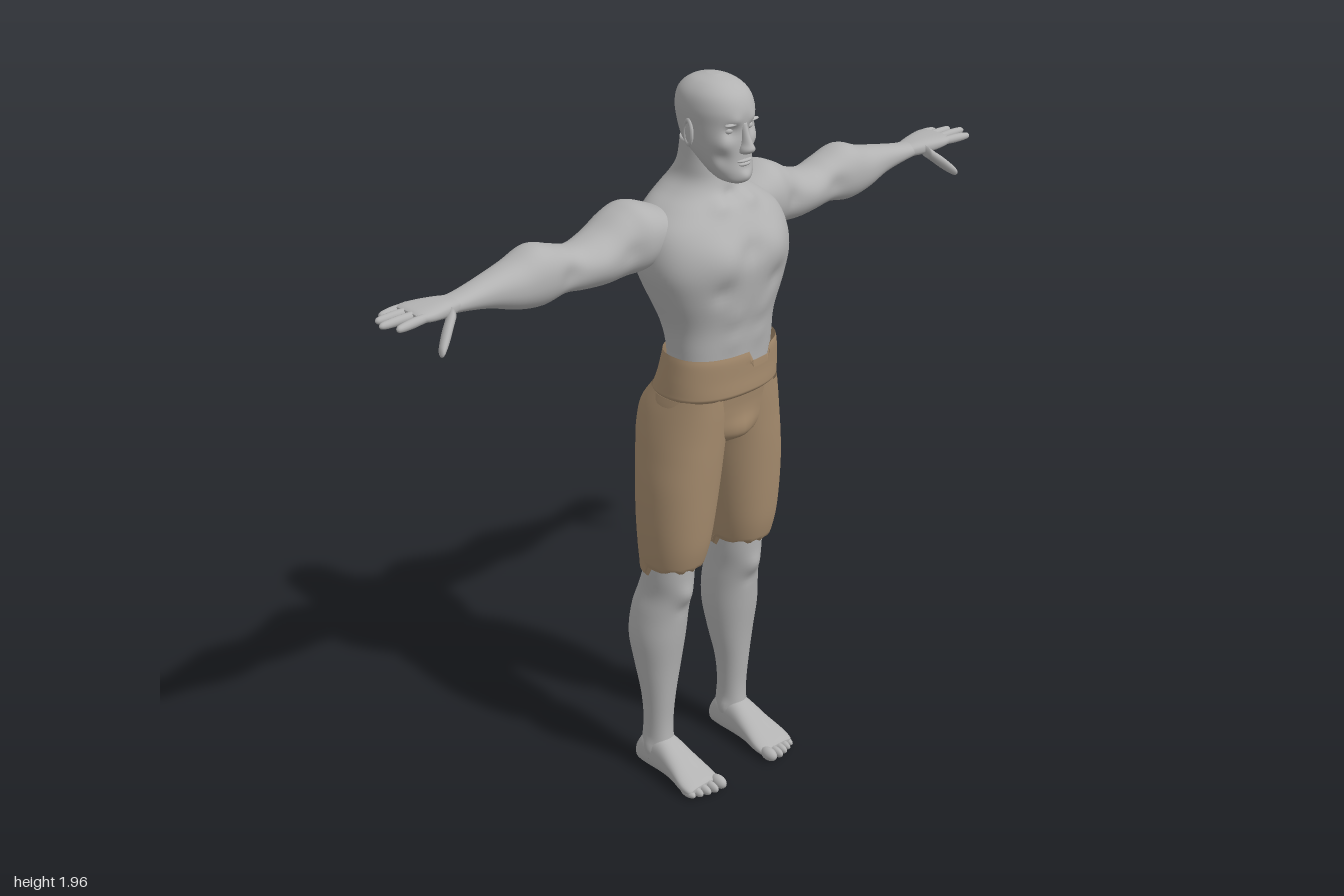
import * as THREE from 'three';

const skin = new THREE.MeshStandardMaterial({ color: 0xb2b2b2 });
skin.name = 'grey skin';
const cloth = new THREE.MeshStandardMaterial({ color: 0xa68c6e, side: THREE.DoubleSide });
cloth.name = 'tan cloth';

// Catmull-Rom blend of neighbouring cross-sections
function blend(s, f) {
  const i = Math.min(Math.floor(f), s.length - 2), t = f - i;
  const at = (k) => s[Math.max(0, Math.min(s.length - 1, k))];
  const [a, b, c, d] = [at(i - 1), at(i), at(i + 1), at(i + 2)];
  return b.map((_, k) => 0.5 * (2 * b[k] + (c[k] - a[k]) * t
    + (2 * a[k] - 5 * b[k] + 4 * c[k] - d[k]) * t * t + (3 * b[k] - a[k] - 3 * c[k] + d[k]) * t * t * t));
}

// Skin over sections [t, u0, u1, v0, v1]; axis y: u=x v=z, axis x: u=z v=y, axis z: u=y v=x
function loft(sections, { axis = 'y', segs = 40, steps = 5, n = 2.2, bumps = [], tweak, cap = true } = {}) {
  const rows = (sections.length - 1) * steps, pos = [], idx = [];
  const put = (t, u, v) => {
    const p = axis === 'y' ? new THREE.Vector3(u, t, v)
      : axis === 'x' ? new THREE.Vector3(t, v, u) : new THREE.Vector3(v, u, t);
    const q = p.clone();
    // Sculpting: soft pushes [x, y, z, radius, dx, dy, dz], mirrored in x
    for (const [x, y, z, r, dx, dy, dz] of bumps) for (const m of x ? [1, -1] : [1]) {
      const w = Math.exp(-((q.x - m * x) ** 2 + (q.y - y) ** 2 + (q.z - z) ** 2) / (r * r));
      p.x += m * dx * w; p.y += dy * w; p.z += dz * w;
    }
    if (tweak) tweak(p);
    pos.push(p.x, p.y, p.z);
  };
  const pw = (c) => Math.sign(c) * Math.abs(c) ** (2 / n);
  for (let i = 0; i <= rows; i++) {
    const [t, u0, u1, v0, v1] = blend(sections, i / steps);
    for (let j = 0; j < segs; j++) {
      const a = (j / segs) * Math.PI * 2;
      put(t, (u0 + u1) / 2 + (u1 - u0) / 2 * pw(Math.cos(a)), (v0 + v1) / 2 + (v1 - v0) / 2 * pw(Math.sin(a)));
    }
  }
  for (let i = 0; i < rows; i++) for (let j = 0; j < segs; j++) {
    const k = (j + 1) % segs, a = i * segs + j, b = i * segs + k;
    idx.push(a, a + segs, b, b, a + segs, b + segs);
  }
  if (cap) {
    for (const i of [0, rows]) {
      const [t, u0, u1, v0, v1] = blend(sections, i / steps), c = pos.length / 3;
      put(t, (u0 + u1) / 2, (v0 + v1) / 2);
      for (let j = 0; j < segs; j++) {
        const a = i * segs + j, b = i * segs + (j + 1) % segs;
        if (i) idx.push(c, b, a); else idx.push(c, a, b);
      }
    }
  }
  const g = new THREE.BufferGeometry();
  g.setAttribute('position', new THREE.Float32BufferAttribute(pos, 3));
  g.setIndex(idx);
  g.computeVertexNormals();
  return g;
}

// Sections symmetric in x, given as [y, halfWidth, back, front]
const body = (s, opt) => loft(s.map(([y, w, b, f]) => [y, -w, w, b, f]), opt);

function mirrored(geo) {
  const g = geo.clone().scale(-1, 1, 1), ix = g.index.array;
  for (let i = 0; i < ix.length; i += 3) [ix[i], ix[i + 1]] = [ix[i + 1], ix[i]];
  g.computeVertexNormals();
  return g;
}

const ball = (x, y, z, rx, ry, rz) => new THREE.SphereGeometry(1, 20, 14).scale(rx, ry, rz).translate(x, y, z);

// Tapered finger from a to b
function finger(a, b, r) {
  const s = [[0, 1], [0.3, 1], [0.5, 1.04], [0.8, 0.9], [0.95, 0.65], [1, 0.15]].map(([f, k]) => {
    const [x, y, z] = a.map((v, i) => v + (b[i] - v) * f), q = r * k;
    return [x, z - q, z + q, y - q, y + q];
  });
  return loft(s, { axis: 'x', segs: 14, steps: 3, n: 2 });
}

export function createModel() {
  const model = new THREE.Group();
  const add = (name, geo, mat = skin) => {
    const m = new THREE.Mesh(geo, mat);
    m.name = name;
    model.add(m);
  };
  const pair = (name, geo, mat) => {
    add('left' + name, geo, mat);
    add('right' + name, mirrored(geo), mat);
  };

  // Torso and neck, with chest, belly, shoulder blades and spine sculpted in
  const torsoBumps = [
    [0.085, 1.53, 0.13, 0.06, 0, 0, 0.016], [0.09, 1.445, 0.14, 0.03, 0, 0, -0.01],
    [0, 1.54, 0.15, 0.03, 0, 0, -0.01], [0.1, 1.56, -0.14, 0.06, 0, 0, -0.012],
    [0.13, 1.46, -0.12, 0.06, 0.008, 0, -0.006], [0.05, 1.645, 0.08, 0.025, 0, 0.004, 0.008],
    [0, 1.66, 0.065, 0.02, 0, 0, -0.01], [0.045, 1.37, 0.13, 0.03, 0, 0, 0.006],
    [0.045, 1.3, 0.13, 0.03, 0, 0, 0.005], [0.055, 1.3, -0.08, 0.04, 0, 0, -0.008],
  ];
  for (let y = 1.28; y < 1.6; y += 0.04) torsoBumps.push([0, y, -0.07 - (y - 1.28) * 0.28, 0.03, 0, 0, 0.01]);
  add('torso', body([
    [1.18, 0.145, -0.075, 0.12], [1.27, 0.15, -0.072, 0.125], [1.34, 0.16, -0.09, 0.13],
    [1.42, 0.19, -0.12, 0.145], [1.49, 0.213, -0.142, 0.15], [1.55, 0.213, -0.15, 0.14],
    [1.6, 0.195, -0.15, 0.118], [1.64, 0.15, -0.145, 0.092], [1.67, 0.105, -0.135, 0.066],
    [1.7, 0.077, -0.115, 0.055], [1.74, 0.068, -0.09, 0.05], [1.8, 0.063, -0.08, 0.045],
  ], { segs: 72, n: 2.35, bumps: torsoBumps }));

  // Head with brow, eye sockets, cheeks and chin
  add('head', body([
    [1.706, 0.022, 0.06, 0.108], [1.715, 0.04, 0.035, 0.119], [1.735, 0.053, 0, 0.122],
    [1.765, 0.065, -0.04, 0.118], [1.8, 0.074, -0.075, 0.117], [1.85, 0.08, -0.093, 0.117],
    [1.89, 0.082, -0.096, 0.117], [1.925, 0.073, -0.085, 0.1], [1.95, 0.048, -0.055, 0.065],
    [1.962, 0.012, -0.012, 0.022],
  ], { segs: 80, steps: 7, bumps: [
    [0.033, 1.842, 0.108, 0.018, 0, 0, -0.014], [0.03, 1.865, 0.112, 0.016, 0, 0, 0.006],
    [0.055, 1.81, 0.09, 0.022, 0.003, 0, 0.006], [0.05, 1.775, 0.09, 0.02, -0.005, 0, -0.005],
    [0, 1.727, 0.12, 0.018, 0, 0, 0.006], [0, 1.744, 0.12, 0.012, 0, 0, -0.005],
  ] }));
  add('nose', body([
    [1.782, 0.008, 0.1, 0.122], [1.788, 0.018, 0.1, 0.138], [1.798, 0.018, 0.1, 0.146],
    [1.812, 0.012, 0.1, 0.14], [1.835, 0.009, 0.1, 0.128], [1.86, 0.01, 0.09, 0.119],
  ], { segs: 24, n: 2 }));
  add('upperLip', ball(0, 1.7655, 0.113, 0.025, 0.005, 0.011));
  add('lowerLip', ball(0, 1.7565, 0.113, 0.021, 0.006, 0.011));
  pair('Eye', ball(0.033, 1.842, 0.09, 0.014, 0.009, 0.013));
  pair('Eyebrow', ball(0.034, 1.86, 0.105, 0.022, 0.004, 0.01).rotateZ(0));
  pair('Ear', ball(0, 0, 0, 0.007, 0.032, 0.019).rotateY(0.3).translate(0.083, 1.828, 0.008));
  pair('EarRim', new THREE.TorusGeometry(0.018, 0.004, 8, 24).scale(1, 1.65, 1)
    .rotateY(Math.PI / 2 + 0.3).translate(0.087, 1.83, 0.008));

  // Arms with shoulder, biceps and forearm swells
  pair('Arm', loft([
    [0.1, -0.11, 0, 1.56, 1.62], [0.16, -0.143, 0.03, 1.52, 1.65], [0.22, -0.153, 0.035, 1.495, 1.67],
    [0.27, -0.15, 0.02, 1.49, 1.655], [0.33, -0.143, 0.01, 1.485, 1.622], [0.4, -0.13, 0, 1.49, 1.605],
    [0.46, -0.13, 0.003, 1.498, 1.62], [0.53, -0.132, 0.008, 1.487, 1.64], [0.6, -0.125, 0, 1.497, 1.617],
    [0.68, -0.105, -0.015, 1.523, 1.6], [0.76, -0.09, -0.02, 1.54, 1.586], [0.81, -0.088, -0.02, 1.546, 1.582],
  ], { axis: 'x', segs: 48, bumps: [
    [0.37, 1.555, 0, 0.045, 0, 0, 0.01], [0.35, 1.53, -0.13, 0.04, 0, 0, -0.008],
    [0.46, 1.555, 0, 0.03, 0, 0, -0.01], [0.28, 1.57, 0.02, 0.025, 0, 0, -0.006],
  ] }));
  pair('Palm', loft([
    [0.77, -0.082, -0.025, 1.548, 1.58], [0.82, -0.094, -0.008, 1.547, 1.588],
    [0.87, -0.105, 0.004, 1.554, 1.59], [0.9, -0.106, 0.002, 1.56, 1.588], [0.912, -0.1, -0.006, 1.567, 1.583],
  ], { axis: 'x', segs: 32, n: 2.6 }));
  [[-0.094, -0.1, 0.955, 1.568], [-0.067, -0.073, 0.985, 1.572], [-0.039, -0.038, 1, 1.574], [-0.011, 0, 0.98, 1.572]]
    .forEach(([z0, z1, x, y], i) => pair('Finger' + (i + 1), finger([0.88, 1.574, z0], [x, y, z1], 0.0115)));
  pair('Thumb', finger([0.815, 1.562, -0.01], [0.89, 1.495, 0.038], 0.016));

  // Lower legs with knee and calf
  pair('LowerLeg', loft([
    [0.04, 0.1, 0.18, -0.115, -0.01], [0.1, 0.102, 0.177, -0.112, -0.02], [0.16, 0.102, 0.177, -0.106, -0.022],
    [0.24, 0.095, 0.183, -0.112, -0.015], [0.33, 0.078, 0.195, -0.132, -0.005], [0.42, 0.065, 0.205, -0.15, 0.008],
    [0.5, 0.063, 0.197, -0.145, 0.018], [0.56, 0.066, 0.185, -0.128, 0.03], [0.62, 0.066, 0.184, -0.108, 0.04],
    [0.7, 0.07, 0.18, -0.1, 0.044],
  ], { segs: 44, bumps: [
    [0.125, 0.57, 0.03, 0.03, 0, 0, 0.012], [0.125, 0.52, 0.02, 0.02, 0, 0, -0.004],
    [0.102, 0.085, -0.06, 0.018, -0.007, 0, 0], [0.178, 0.075, -0.065, 0.018, 0.007, 0, 0],
    [0.135, 0.43, -0.15, 0.03, 0, 0, 0.006],
  ] }));

  // Feet and toes
  pair('Foot', loft([
    [-0.132, 0.02, 0.045, 0.125, 0.155], [-0.122, 0.005, 0.072, 0.108, 0.172], [-0.09, 0, 0.11, 0.1, 0.18],
    [-0.03, 0, 0.11, 0.097, 0.182], [0.03, 0.003, 0.08, 0.09, 0.19], [0.08, 0.001, 0.052, 0.083, 0.2],
    [0.11, 0.002, 0.036, 0.084, 0.198], [0.12, 0.008, 0.028, 0.09, 0.19],
  ], { axis: 'z', segs: 36, n: 2.4 }));
  [[0.097, 0.127, 0.016, 0.019], [0.124, 0.126, 0.011, 0.015], [0.146, 0.12, 0.011, 0.014],
    [0.167, 0.112, 0.011, 0.013], [0.187, 0.102, 0.011, 0.012]]
    .forEach(([x, z, w, h], i) => pair('Toe' + (i + 1), ball(x, h, z, w, h, 0.028)));

  // Shorts: waistband with torn upper edge
  add('waistband', body([
    [1.143, 0.165, -0.105, 0.124], [1.153, 0.173, -0.112, 0.134], [1.165, 0.173, -0.108, 0.136],
    [1.2, 0.17, -0.093, 0.136], [1.245, 0.164, -0.082, 0.138], [1.264, 0.16, -0.079, 0.136],
  ], { segs: 96, n: 2.35, cap: false, tweak: (p) => {
    if (p.y < 1.24) return;
    if (p.z > 0 && p.x > 0.015 && p.x < 0.08) p.y -= 0.028;
    if (p.z < 0 && Math.abs(p.x) < 0.04) p.y -= 0.022 * (1 - Math.abs(p.x) / 0.04);
  } }));
  add('shortsSeat', body([
    [0.99, 0.03, -0.05, 0.06], [1.02, 0.1, -0.095, 0.1], [1.05, 0.165, -0.115, 0.112],
    [1.09, 0.176, -0.125, 0.118], [1.12, 0.175, -0.122, 0.122], [1.15, 0.169, -0.108, 0.127],
  ], { segs: 56, n: 2.35, bumps: [[0, 1.04, 0.11, 0.04, 0, 0, 0.014], [0, 1.08, -0.12, 0.03, 0, 0, 0.015]] }), cloth);
  model.children.find((m) => m.name === 'waistband').material = cloth;
  model.children.find((m) => m.name === 'shortsSeat').material = cloth;

  // Shorts legs with a stepped, frayed hem
  pair('ShortsLeg', loft([
    [0.648, 0.056, 0.193, -0.11, 0.056], [0.662, 0.046, 0.2, -0.114, 0.066], [0.72, 0.034, 0.208, -0.117, 0.082],
    [0.8, 0.022, 0.213, -0.121, 0.093], [0.9, 0.01, 0.212, -0.126, 0.103], [0.98, 0.003, 0.203, -0.135, 0.11],
    [1.04, -0.002, 0.194, -0.14, 0.114], [1.1, 0.002, 0.181, -0.132, 0.118], [1.15, 0.012, 0.166, -0.1, 0.12],
  ], { segs: 48, cap: false, bumps: [[0.09, 1.07, -0.135, 0.05, 0, 0, -0.006]], tweak: (p) => {
    if (p.y < 0.66) p.y += (p.z < -0.04 ? -0.018 : 0.006) + 0.005 * Math.sin(p.x * 190);
  } }), cloth);
  return model;
}
